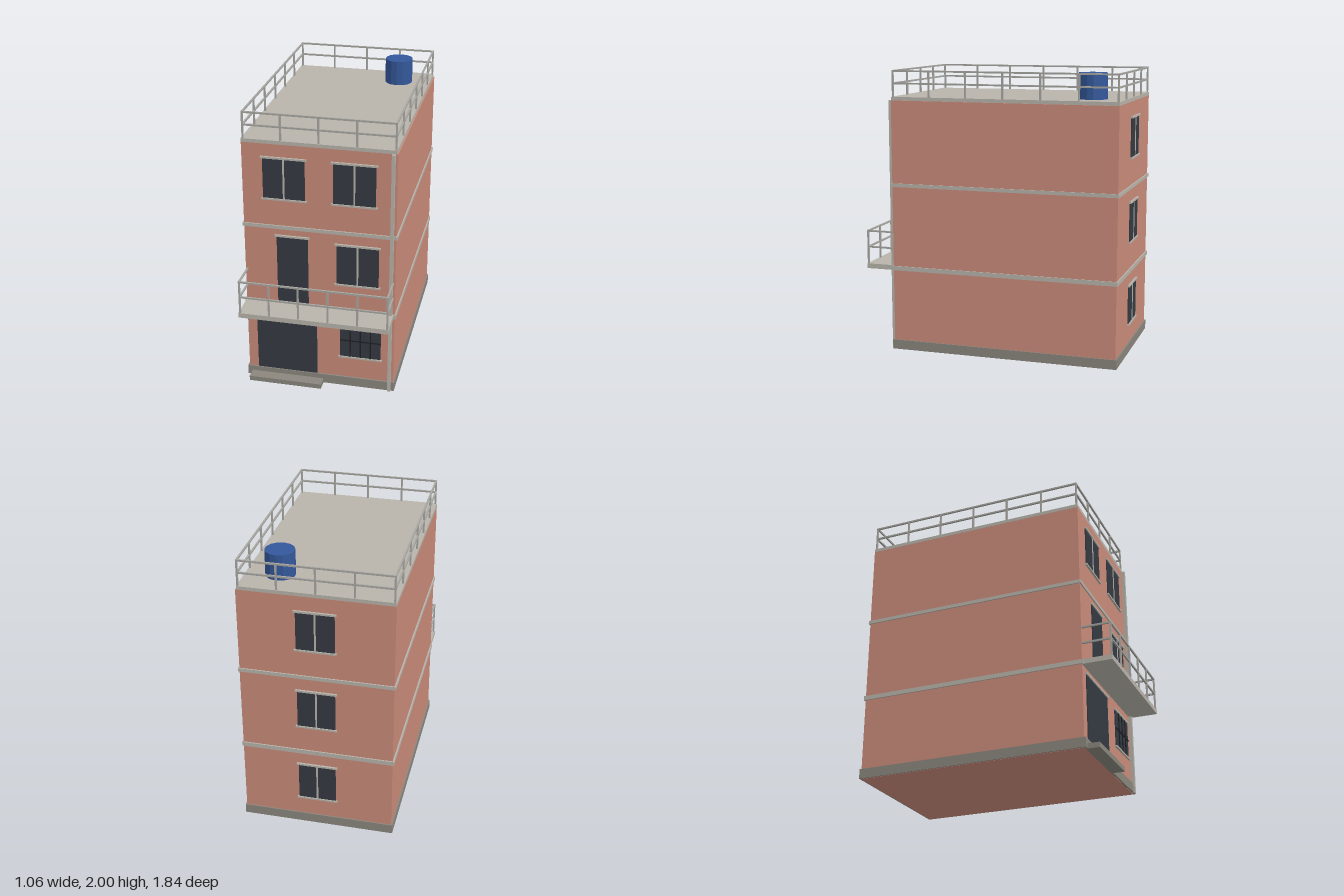
import * as THREE from 'three';

const mat = (name, color) => {
  const m = new THREE.MeshStandardMaterial({ color });
  m.name = name;
  return m;
};

export function createModel() {
  const wall = mat('terracotta wall', 0xc98b7a);
  const concrete = mat('pale concrete', 0xb8b4ab);
  const stone = mat('plinth stone', 0x8a867d);
  const glass = mat('dark glass', 0x353a42);
  const iron = mat('dark iron', 0x1d2024);
  const metal = mat('rail metal', 0xa8a7a2);
  const blue = mat('tank blue', 0x34589b);

  const house = new THREE.Group();
  house.name = 'house';

  const group = (name, parent = house) => {
    const g = new THREE.Group();
    g.name = name;
    parent.add(g);
    return g;
  };
  // Box given by its limits on each axis
  const box = (name, m, [x0, x1], [y0, y1], [z0, z1], parent = house) => {
    const mesh = new THREE.Mesh(new THREE.BoxGeometry(x1 - x0, y1 - y0, z1 - z0), m);
    mesh.position.set((x0 + x1) / 2, (y0 + y1) / 2, (z0 + z1) / 2);
    mesh.name = name;
    parent.add(mesh);
    return mesh;
  };

  // Main volume, plinth, floor bands and roof
  box('walls', wall, [-0.524, 0.522], [0, 1.79], [-0.907, 0.711]);
  box('plinth', stone, [-0.534, 0.53], [0.002, 0.07], [-0.916, 0.724]);
  box('lowerBand', concrete, [-0.534, 0.53], [0.582, 0.613], [-0.916, 0.72]);
  box('upperBand', concrete, [-0.534, 0.53], [1.183, 1.208], [-0.916, 0.72]);
  box('roofSlab', concrete, [-0.525, 0.515], [1.79, 1.815], [-0.907, 0.711]);
  box('frontStep', stone, [-0.5, 0.022], [0, 0.035], [0.71, 0.805]);
  box('balconySlab', concrete, [-0.525, 0.515], [0.58, 0.615], [0.7, 0.92]);
  box('drainPipe', concrete, [0.484, 0.506], [0, 1.79], [0.71, 0.736]);

  // Openings are built facing +z on the plane z = 0, then set on a wall
  const opening = (name, [x0, x1], [y0, y1], { sill = true, style = 'plain' } = {}) => {
    const g = group(name);
    const mid = (x0 + x1) / 2;
    box('pane', glass, [x0, x1], [y0, y1], [-0.002, 0.006], g);
    box('lintel', concrete, [x0 - 0.012, x1 + 0.012], [y1, y1 + 0.013], [-0.002, 0.014], g);
    if (sill) box('sill', concrete, [x0 - 0.012, x1 + 0.012], [y0 - 0.01, y0 + 0.002], [-0.002, 0.014], g);
    if (style === 'mullion') box('mullion', concrete, [mid - 0.006, mid + 0.006], [y0, y1], [0, 0.01], g);
    if (style === 'grille') {
      for (let i = 1; i < 4; i++) {
        const x = x0 + ((x1 - x0) * i) / 4;
        box('grilleBar', iron, [x - 0.004, x + 0.004], [y0, y1], [0, 0.012], g);
      }
      const y = (y0 + y1) / 2;
      box('grilleCrossbar', iron, [x0, x1], [y - 0.004, y + 0.004], [0, 0.012], g);
    }
    g.position.z = 0.711;
    return g;
  };

  // Front wall
  opening('garageDoor', [-0.455, -0.023], [0.07, 0.53], { sill: false });
  opening('groundWindow', [0.143, 0.43], [0.238, 0.503], { style: 'grille' });
  opening('balconyDoor', [-0.297, -0.08], [0.613, 1.125], { sill: false });
  opening('middleWindow', [0.117, 0.408], [0.81, 1.1], { style: 'mullion' });
  opening('topWindowRight', [-0.382, -0.095], [1.405, 1.69], { style: 'mullion' });
  opening('topWindowLeft', [0.095, 0.382], [1.405, 1.69], { style: 'mullion' });

  // Back wall, one window per storey
  [0.212, 0.808, 1.403].forEach((y, i) => {
    const w = opening('backWindow' + (i + 1), [-0.13, 0.13], [y, y + 0.273], { style: 'mullion' });
    w.rotation.y = Math.PI;
    w.position.z = -0.907;
  });

  // Straight railing run: posts plus a top and a middle rail
  const T = 0.006;
  const railing = (name, [xa, za], [xb, zb], base, top, middle, bays, lastPost = bays) => {
    const g = group(name);
    for (let i = 0; i <= lastPost; i++) {
      const x = xa + ((xb - xa) * i) / bays;
      const z = za + ((zb - za) * i) / bays;
      box('post', metal, [x - T, x + T], [base, top], [z - T, z + T], g);
    }
    for (const y of [top - T, middle]) {
      box('rail', metal, [Math.min(xa, xb) - T, Math.max(xa, xb) + T], [y - T, y + T],
        [Math.min(za, zb) - T, Math.max(za, zb) + T], g);
    }
  };

  const L = -0.513, R = 0.507;
  // Roof railing
  const F = 0.7, B = -0.897;
  railing('roofRailFront', [L, F], [R, F], 1.815, 2, 1.908, 4);
  railing('roofRailBack', [L, B], [R, B], 1.815, 2, 1.908, 4);
  for (const x of [L, R]) railing('roofRailSide', [x, F], [x, B], 1.815, 2, 1.908, 6);
  // Balcony railing, with returns to the wall
  railing('balconyRailFront', [L, 0.912], [R, 0.912], 0.615, 0.859, 0.737, 5);
  for (const x of [L, R]) railing('balconyRailSide', [x, 0.912], [x, 0.715], 0.615, 0.859, 0.737, 1, 0);

  // Water tank
  const tankShape = new THREE.CylinderGeometry(0.1, 0.1, 0.178, 14).toNonIndexed();
  tankShape.computeVertexNormals();
  const tank = new THREE.Mesh(tankShape, blue);
  tank.position.set(0.285, 1.904, -0.675);
  tank.name = 'waterTank';
  house.add(tank);

  return house;
}
